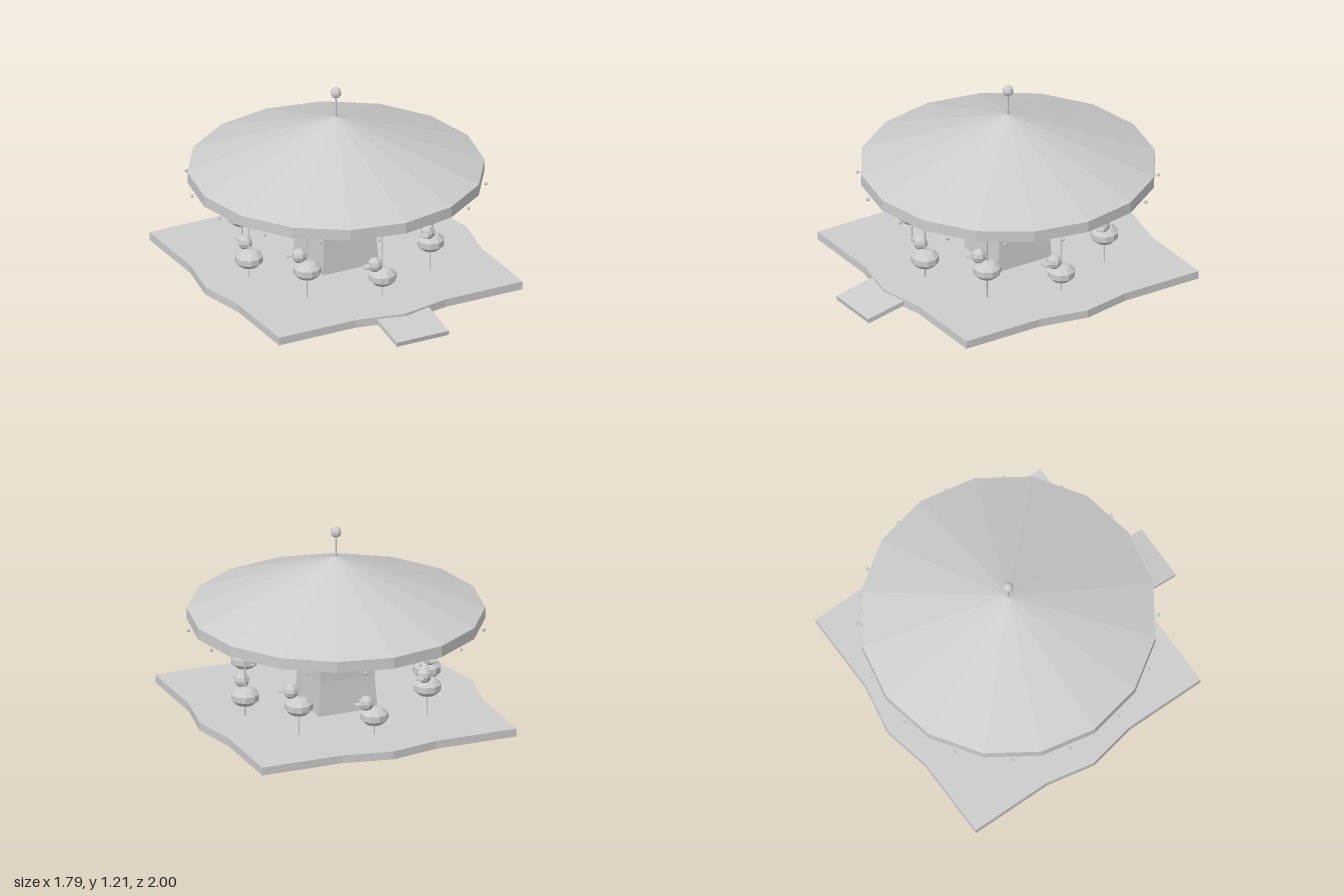
import * as THREE from 'three';

const CZ = -0.107; // carousel axis on z

export function createModel() {
  const grey = new THREE.MeshStandardMaterial({ color: 0xcccccc, flatShading: true, side: THREE.DoubleSide });
  grey.name = 'light grey';

  const model = new THREE.Group();
  model.name = 'carousel';
  const carousel = new THREE.Group();
  carousel.name = 'rotunda';
  carousel.position.z = CZ;
  model.add(carousel);

  const add = (parent, name, geometry, x = 0, y = 0, z = 0) => {
    const mesh = new THREE.Mesh(geometry, grey);
    mesh.name = name;
    mesh.position.set(x, y, z);
    parent.add(mesh);
    return mesh;
  };

  // Square floor whose sides swell outward in the middle
  const outline = [];
  for (let i = 0; i < 4; i++) {
    for (const [x, y] of [[0.825, -0.825], [0.825, -0.305], [0.885, 0], [0.825, 0.305]]) {
      outline.push(new THREE.Vector2(x, y).rotateAround(new THREE.Vector2(), i * Math.PI / 2));
    }
  }
  const floor = new THREE.ExtrudeGeometry(new THREE.Shape(outline), { depth: 0.05, bevelEnabled: false });
  floor.rotateX(-Math.PI / 2);
  add(carousel, 'floor', floor, 0, 0.04, 0);

  // Entry ramp
  add(model, 'ramp', new THREE.BoxGeometry(0.352, 0.03, 0.26), 0, 0.04, 0.87).rotation.x = 0.19;

  // Square centre column with a flared skirt
  add(carousel, 'column', new THREE.BoxGeometry(0.35, 0.6, 0.35), 0, 0.385, 0);
  const skirt = new THREE.CylinderGeometry(0.175 * Math.SQRT2, 0.19 * Math.SQRT2, 0.21, 4, 1, true);
  skirt.rotateY(Math.PI / 4);
  add(carousel, 'columnSkirt', skirt, 0, 0.195, 0);

  // Open sixteen-sided roof with a vertical rim
  const profile = [[0.893, 0.625], [0.893, 0.695], [0, 1.025]].map(p => new THREE.Vector2(...p));
  add(carousel, 'roof', new THREE.LatheGeometry(profile, 16));

  // Finial
  add(carousel, 'finialPole', new THREE.CylinderGeometry(0.004, 0.009, 0.15, 8), 0, 1.085, 0);
  add(carousel, 'finialBall', new THREE.SphereGeometry(0.034, 8, 6), 0, 1.18, 0);

  // Bulbs hanging around the rim
  for (let i = 0; i < 16; i++) {
    const a = (i + 0.5) * Math.PI / 8;
    add(carousel, 'bulb', new THREE.SphereGeometry(0.011, 6, 5), 0.9 * Math.cos(a), 0.62, 0.9 * Math.sin(a));
  }

  // Eight duck seats on poles, alternately low and high
  for (let i = 0; i < 8; i++) {
    const a = i * Math.PI / 4;
    const ride = new THREE.Group();
    ride.name = 'duckRide';
    ride.position.set(0.59 * Math.cos(a), 0, 0.59 * Math.sin(a));
    ride.rotation.y = -a; // local +z follows the direction of travel
    carousel.add(ride);
    add(ride, 'ridePole', new THREE.CylinderGeometry(0.005, 0.005, 0.57, 6), 0, 0.365, 0);

    const duck = new THREE.Group();
    duck.name = 'duck';
    duck.position.y = i % 2 ? 0.277 : 0.215;
    ride.add(duck);
    const body = new THREE.SphereGeometry(1, 10, 5);
    body.scale(0.089, 0.06, 0.089);
    add(duck, 'body', body);
    add(duck, 'head', new THREE.SphereGeometry(0.046, 8, 6), 0, 0.087, 0.05);
    add(duck, 'beak', new THREE.BoxGeometry(0.045, 0.012, 0.045), 0, 0.082, 0.102);
    for (const s of [-1, 1]) {
      add(duck, 'eye', new THREE.SphereGeometry(0.006, 6, 4), s * 0.02, 0.102, 0.087);
    }
  }

  return model;
}
